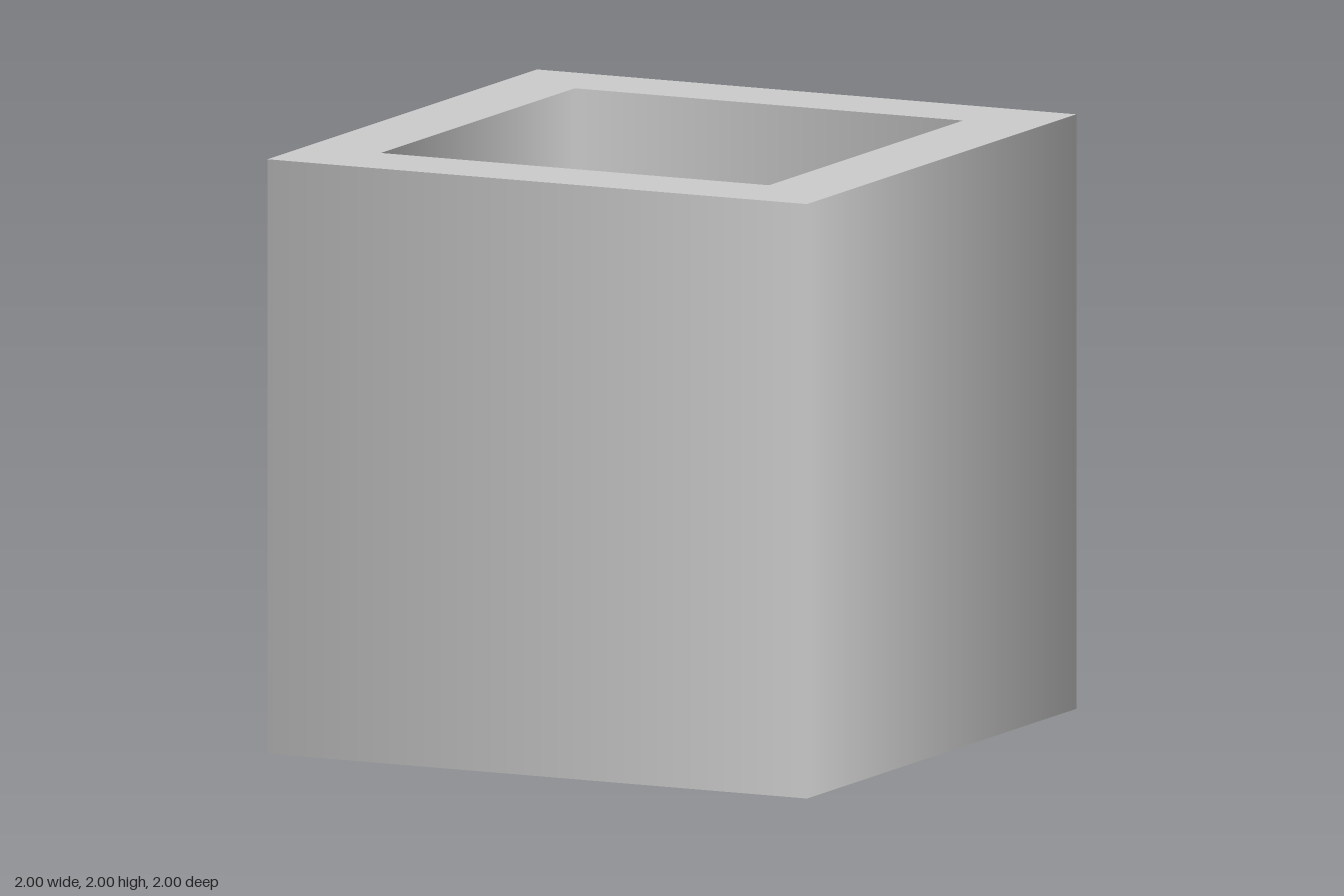
import * as THREE from 'three';

const CORNER = Math.SQRT2; // half width -> corner radius of a four-sided lathe

export function createModel() {
  const group = new THREE.Group();
  group.name = 'squarePlanter';
  const material = new THREE.MeshStandardMaterial({ color: 0xcccccc });

  const outer = 1, inner = 0.72, height = 2, floorY = 1.5;

  // Four-sided band swept between two [halfWidth, y] points, smooth around its corners
  const band = (name, from, to) => {
    const profile = [from, to].map(([w, y]) => new THREE.Vector2(w * CORNER, y));
    const mesh = new THREE.Mesh(new THREE.LatheGeometry(profile, 4, Math.PI / 4), material);
    mesh.name = name;
    group.add(mesh);
  };

  band('base', [0, 0], [outer, 0]);
  band('outerWall', [outer, 0], [outer, height]);
  band('rim', [outer, height], [inner, height]);
  band('innerWall', [inner, height], [inner, floorY]);
  band('recessFloor', [inner, floorY], [0, floorY]);

  return group;
}
